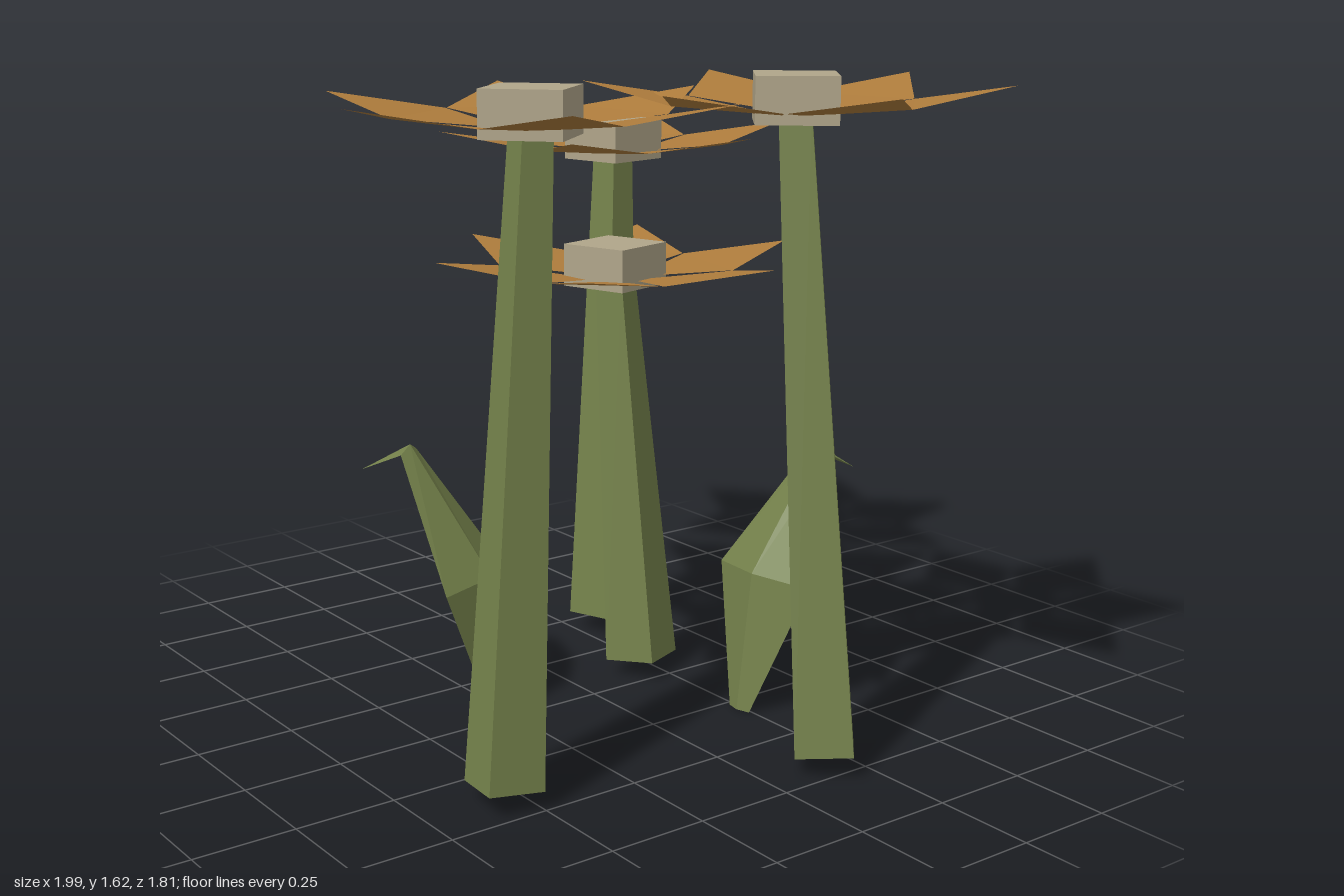
import * as THREE from 'three';

const mat = (color) => new THREE.MeshStandardMaterial({ color, flatShading: true, side: THREE.DoubleSide });
const deg = THREE.MathUtils.degToRad;
const V = (x, y, z) => new THREE.Vector3(x, y, z);

// Thin folded sheet from points and triangles
function sheet(points, faces, material, name) {
  const g = new THREE.BufferGeometry();
  g.setAttribute('position', new THREE.Float32BufferAttribute(points.flat(), 3));
  g.setIndex(faces.flat());
  const flat = g.toNonIndexed();
  flat.computeVertexNormals();
  const mesh = new THREE.Mesh(flat, material);
  mesh.name = name;
  return mesh;
}

// Tapered square stem leaning from its base to the flower head
function makeStem(base, top, yaw, material) {
  const axis = top.clone().sub(base);
  const g = new THREE.CylinderGeometry(0.075 / Math.SQRT2, 0.138 / Math.SQRT2, axis.length(), 4);
  g.rotateY(Math.PI / 4 + deg(yaw));
  const stem = new THREE.Mesh(g, material);
  stem.name = 'stem';
  stem.position.copy(base).add(top).multiplyScalar(0.5);
  stem.quaternion.setFromUnitVectors(V(0, 1, 0), axis.normalize());
  return stem;
}

// Block centre with a ring of six upturned petals; y = 0 is the top of the block
function makeHead(centreYaw, petalTurn, mats) {
  const head = new THREE.Group();
  head.name = 'flowerHead';
  const centre = new THREE.Mesh(new THREE.BoxGeometry(0.19, 0.11, 0.19), mats.centre);
  centre.name = 'flowerCentre';
  centre.position.y = -0.055;
  centre.rotation.y = deg(centreYaw);
  head.add(centre);
  for (let i = 0; i < 6; i++) {
    const petal = sheet(
      [[0.09, -0.088, 0.025], [0.09, -0.088, -0.025], [0.267, -0.066, 0.152], [0.267, -0.066, -0.152], [0.495, -0.022, 0]],
      [[0, 2, 1], [1, 2, 3], [2, 4, 3]], mats.petal, 'petal');
    petal.rotation.y = -deg(petalTurn + i * 60);
    head.add(petal);
  }
  return head;
}

// Folded leaf leaning along +x: rows of left edge, midrib, right edge, then the drooping tip
function makeLeaf(material) {
  const rows = [ // edge out, edge y, rib out, rib y, half width
    [0.005, 0, -0.005, 0, 0.035],
    [0.07, 0.36, 0.025, 0.37, 0.156],
    [0.25, 0.67, 0.245, 0.69, 0.04],
  ];
  const points = [];
  const faces = [];
  for (const [ex, ey, rx, ry, w] of rows) points.push([ex, ey, w], [rx, ry, 0], [ex, ey, -w]);
  points.push([0.385, 0.61, 0]);
  for (let r = 0; r < 2; r++) {
    for (let c = 0; c < 2; c++) {
      const a = r * 3 + c;
      faces.push([a, a + 1, a + 3], [a + 1, a + 4, a + 3]);
    }
  }
  faces.push([6, 7, 9], [7, 8, 9]);
  return sheet(points, faces, material, 'leaf');
}

export function createModel() {
  const model = new THREE.Group();
  model.name = 'flowers';
  const mats = { stem: mat(0x73804a), petal: mat(0xae7c3c), centre: mat(0xb0a58a) };

  // Four flowers: head position (top of block), stem base, turns in degrees
  const flowers = [
    { head: [-0.512, 1.43, -0.44], base: [-0.395, 0.045, -0.325], centreYaw: 11, stemYaw: 11, petalTurn: 49 },
    { head: [-0.18, 1.145, -0.2], base: [-0.06, 0.045, -0.2], centreYaw: 16, stemYaw: 25, petalTurn: 44 },
    { head: [0.516, 1.62, -0.19], base: [0.697, 0.045, -0.165], centreYaw: -39, stemYaw: -43, petalTurn: 16 },
    { head: [0.32, 1.605, 0.405], base: [0.418, 0.045, 0.558], centreYaw: 41, stemYaw: -9, petalTurn: 25 },
  ];
  for (const f of flowers) {
    const flower = new THREE.Group();
    flower.name = 'flower';
    const top = V(...f.head);
    const head = makeHead(f.centreYaw, f.petalTurn, mats);
    head.position.copy(top);
    flower.add(head, makeStem(V(...f.base), top.clone().add(V(0, -0.08, 0)), f.stemYaw, mats.stem));
    model.add(flower);
  }

  // Two ground leaves: base position, heading, extra lean and height scale
  const leaves = [
    { base: [-0.005, 0, 0.285], yaw: 211, lean: 0, scale: 1 },
    { base: [0.3, 0, -0.235], yaw: 94, lean: -2.5, scale: 0.96 },
  ];
  for (const l of leaves) {
    const leaf = makeLeaf(mats.stem);
    leaf.position.set(...l.base);
    leaf.rotation.set(0, deg(l.yaw), deg(l.lean));
    leaf.scale.y = l.scale;
    model.add(leaf);
  }
  return model;
}
